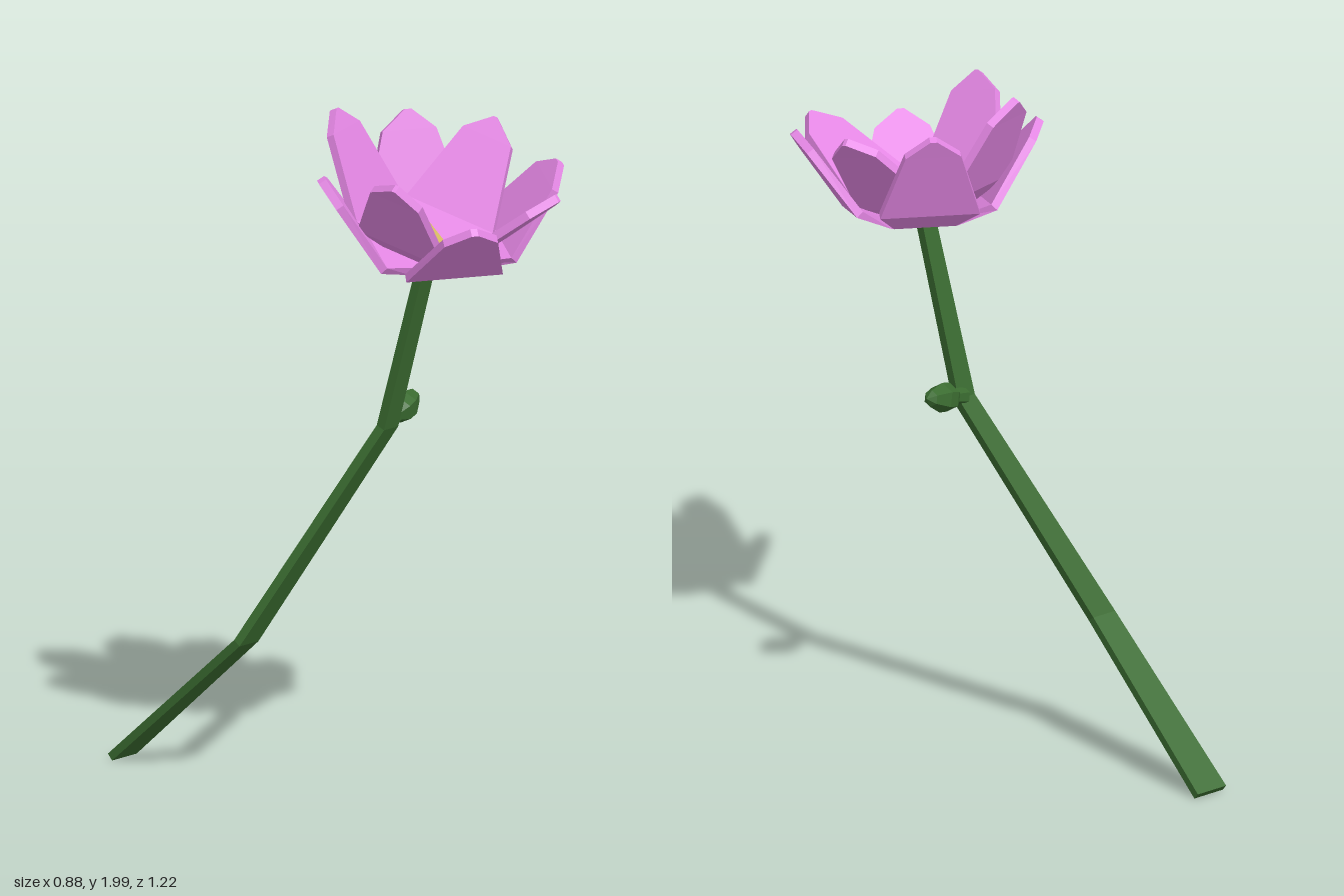
import * as THREE from 'three';

const V = (x, y, z) => new THREE.Vector3(x, y, z);
const rad = THREE.MathUtils.degToRad;
const material = (color) => new THREE.MeshStandardMaterial({ color, flatShading: true });
const UP = V(0, 1, 0);

// Skin a row of equal-sized rings (counter-clockwise about the path) and cap both ends
function loft(rings) {
  const n = rings[0].length, last = rings.length - 1, pos = [];
  const tri = (...pts) => pts.forEach((p) => pos.push(p.x, p.y, p.z));
  for (let k = 0; k < last; k++) {
    for (let i = 0; i < n; i++) {
      const j = (i + 1) % n;
      tri(rings[k][i], rings[k][j], rings[k + 1][j]);
      tri(rings[k][i], rings[k + 1][j], rings[k + 1][i]);
    }
  }
  for (let i = 1; i < n - 1; i++) {
    tri(rings[0][0], rings[0][i + 1], rings[0][i]);
    tri(rings[last][0], rings[last][i], rings[last][i + 1]);
  }
  const g = new THREE.BufferGeometry();
  g.setAttribute('position', new THREE.Float32BufferAttribute(pos, 3));
  g.computeVertexNormals();
  return g;
}

// Folded petal running out along +z; rows are [radius, height, half width, sideways shift]
function petalGeometry(rows, thickness = 0.024) {
  return loft(rows.map(([r, h, w, s], i) => {
    const a = rows[Math.max(i - 1, 0)], b = rows[Math.min(i + 1, rows.length - 1)];
    const t = new THREE.Vector2(b[0] - a[0], b[1] - a[1]).normalize().multiplyScalar(thickness);
    const rOut = r + t.y, hOut = h - t.x;
    return [V(s - w, hOut, rOut), V(s + w, hOut, rOut), V(s + w, h, r), V(s - w, h, r)];
  }));
}

// Flat strap-like stem; nodes are [centre, half width, half thickness]
function stemGeometry(nodes) {
  const side = V(0.98, 0, -0.2);
  return loft(nodes.map(([c, hw, ht], i) => {
    const a = nodes[Math.max(i - 1, 0)][0], b = nodes[Math.min(i + 1, nodes.length - 1)][0];
    const up = b.clone().sub(a).cross(side).normalize();
    return [[-1, -1], [1, -1], [1, 1], [-1, 1]].map(([u, v]) =>
      c.clone().addScaledVector(side, u * hw).addScaledVector(up, v * ht));
  }));
}

export function createModel() {
  const model = new THREE.Group();
  const green = material(0x3a6b30), pink = material(0xe487e4), gold = material(0xe0c568);
  const add = (parent, name, geometry, mat) => {
    const mesh = new THREE.Mesh(geometry, mat);
    mesh.name = name;
    parent.add(mesh);
    return mesh;
  };
  // Group whose y axis points along the given direction
  const whorl = (name, position, axis) => {
    const group = new THREE.Group();
    group.name = name;
    group.position.copy(position);
    group.quaternion.setFromUnitVectors(UP, axis.normalize());
    model.add(group);
    return group;
  };

  // Stem
  add(model, 'stem', stemGeometry([
    [V(-0.39, 0.012, -0.594), 0.052, 0.012],
    [V(-0.27, 0.42, -0.16), 0.04, 0.013],
    [V(0.04, 1.06, 0.097), 0.03, 0.015],
    [V(0.103, 1.58, 0.21), 0.025, 0.015],
  ]), green);

  // Side bud on a short stalk
  const profile = [[0, 0], [0.026, 0], [0.023, 0.045], [0.042, 0.075], [0.043, 0.11], [0.024, 0.16], [0, 0.182]];
  const bud = add(model, 'bud', new THREE.LatheGeometry(profile.map(([r, y]) => new THREE.Vector2(r, y)), 6), green);
  bud.position.set(0.045, 1.067, 0.09);
  bud.quaternion.setFromUnitVectors(UP, V(0.155, 0.047, -0.075).normalize());

  // Two whorls of four petals, tilted apart and turned by 45 degrees
  const inner = whorl('innerWhorl', V(0.072, 1.578, 0.21), V(0.095, 0.96, 0.25));
  const outer = whorl('outerWhorl', V(0.12, 1.58, 0.21), V(-0.09, 0.96, 0.25));
  const innerPetal = petalGeometry([
    [0, 0.04, 0.01, 0], [0.08, 0.045, 0.083, 0], [0.15, 0.09, 0.144, 0.008],
    [0.308, 0.288, 0.08, 0.022], [0.348, 0.336, 0.006, 0.028],
  ]);
  const outerPetal = petalGeometry([
    [0, 0.012, 0.01, 0], [0.09, 0.012, 0.09, 0], [0.185, 0.05, 0.144, 0],
    [0.31, 0.23, 0.08, -0.003], [0.344, 0.278, 0.01, -0.005],
  ]);
  for (let i = 0; i < 4; i++) {
    const turn = (i * Math.PI) / 2;
    add(inner, 'innerPetal', innerPetal, pink).rotation.y = turn + rad(26);
    add(outer, 'outerPetal', outerPetal, pink).rotation.y = turn - rad(19);
  }

  // Pyramid-shaped centre
  const centre = add(inner, 'flowerCentre', new THREE.ConeGeometry(0.075, 0.07, 4), gold);
  centre.position.y = 0.078;
  centre.rotation.y = -rad(19);

  return model;
}
